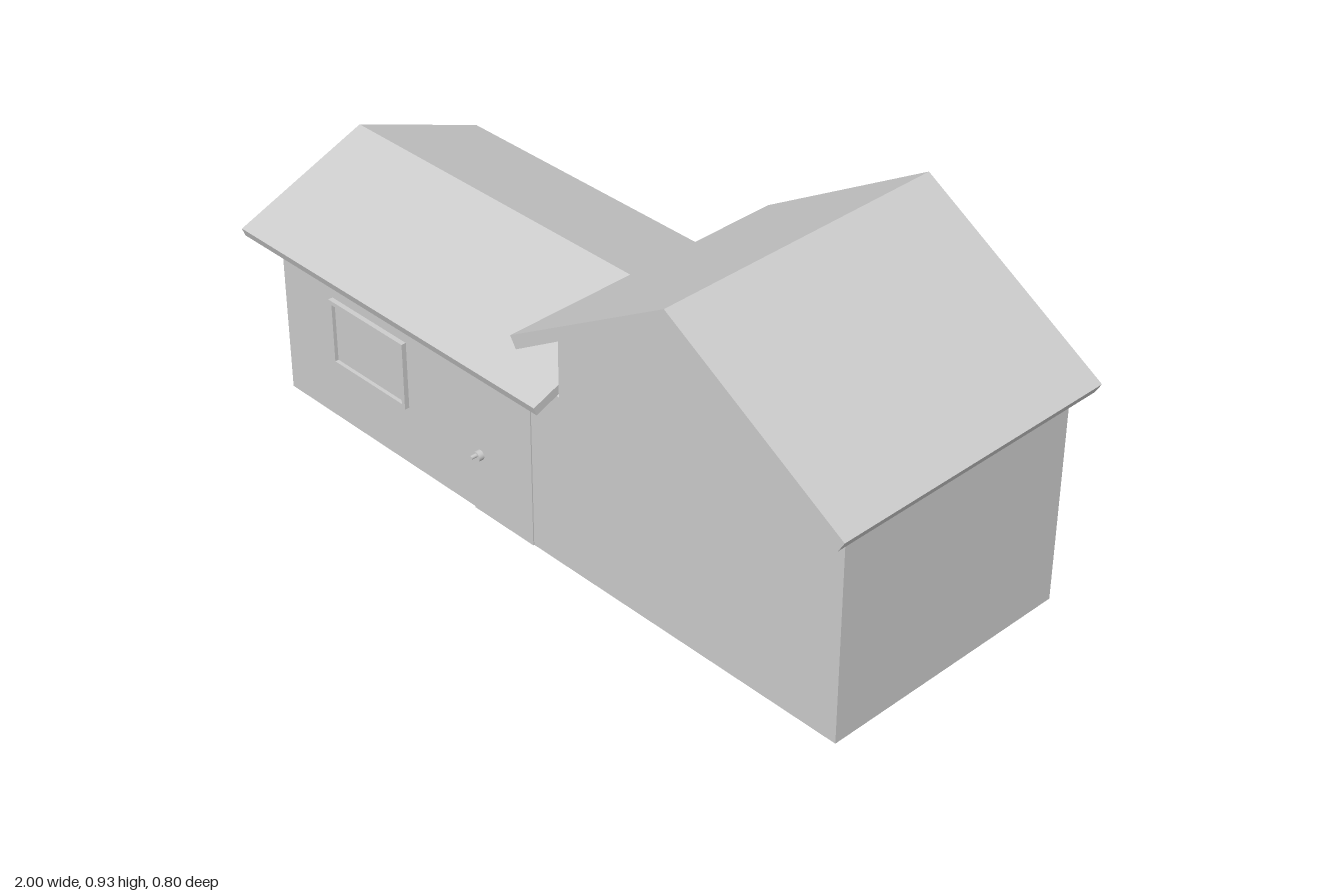
import * as THREE from 'three';

const material = new THREE.MeshStandardMaterial({ color: 0xcccccc });

// Outline [x, y] extruded along z from z0 to z1
function prism(points, z0, z1, hole) {
  const shape = new THREE.Shape(points.map(([x, y]) => new THREE.Vector2(x, y)));
  if (hole) shape.holes.push(new THREE.Path(hole.map(([x, y]) => new THREE.Vector2(x, y))));
  return new THREE.ExtrudeGeometry(shape, { depth: z1 - z0, bevelEnabled: false }).translate(0, 0, z0);
}

const rect = (x0, x1, y0, y1) => [[x0, y0], [x1, y0], [x1, y1], [x0, y1]];

export function createModel() {
  const house = new THREE.Group();
  house.name = 'house';

  const add = (name, geometry, parent = house) => {
    const mesh = new THREE.Mesh(geometry, material);
    mesh.name = name;
    parent.add(mesh);
  };

  // Tall main block: gabled walls and an overhanging roof slab
  add('mainWalls', prism(
    [[0.065, 0], [0.92, 0], [0.92, 0.635], [0.49, 0.9], [0.065, 0.635]], -0.4, 0.307));
  add('mainRoof', prism(
    [[0.033, 0.615], [0.49, 0.9], [0.982, 0.594], [0.999, 0.623], [0.49, 0.93], [0.015, 0.643]], -0.4, 0.4));

  // Low side wing, its ridge running along x
  const alongX = Math.PI / 2;
  add('wingWalls', prism(
    [[-0.307, 0], [0.307, 0], [0.307, 0.461], [0, 0.58], [-0.307, 0.461]], -0.935, 0.065).rotateY(alongX));
  add('wingRoof', prism(
    [[-0.367, 0.438], [0, 0.58], [0.367, 0.438], [0.375, 0.46], [0, 0.605], [-0.375, 0.46]], -1, 0.058).rotateY(alongX));

  // Window: raised frame around a shallow pane
  const frontWindow = new THREE.Group();
  frontWindow.name = 'window';
  house.add(frontWindow);
  add('windowFrame', prism(
    rect(-0.745, -0.47, 0.166, 0.35), 0.3, 0.32, rect(-0.734, -0.481, 0.177, 0.339)), frontWindow);
  add('windowPane', prism(rect(-0.734, -0.481, 0.177, 0.339), 0.3, 0.31), frontWindow);

  // Door, almost flush with the wall, with a round handle
  const door = new THREE.Group();
  door.name = 'door';
  house.add(door);
  add('doorPanel', prism(rect(-0.235, -0.03, 0, 0.4), 0.3, 0.31), door);
  const disc = (radius, z0, z1) => new THREE.CylinderGeometry(radius, radius, z1 - z0, 20)
    .rotateX(Math.PI / 2).translate(-0.208, 0.166, (z0 + z1) / 2);
  add('handlePlate', disc(0.013, 0.305, 0.324), door);
  add('handleStem', disc(0.005, 0.32, 0.34).translate(0, 0.005, 0), door);

  return house;
}
